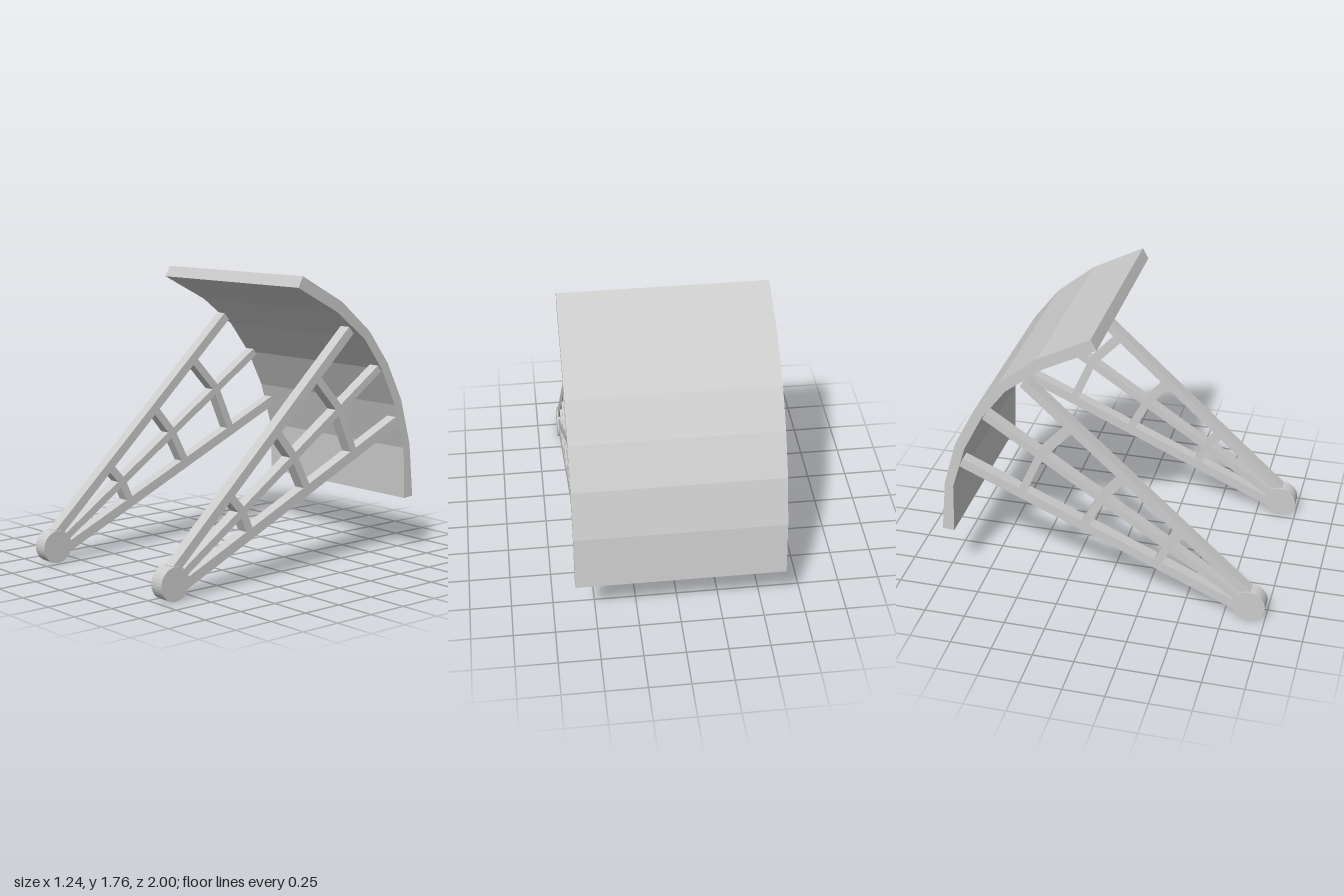
import * as THREE from 'three';

const material = new THREE.MeshStandardMaterial({ color: 0xcccccc, flatShading: true });

// All side-profile points are [z, y]
const outer = [[-0.05, 1.765], [-0.367, 1.60], [-0.60, 1.41], [-0.76, 1.205], [-0.886, 0.964], [-0.967, 0.68], [-1, 0.345]];
const inner = [[-0.015, 1.70], [-0.33, 1.54], [-0.56, 1.365], [-0.71, 1.17], [-0.83, 0.937], [-0.915, 0.66], [-0.927, 0.34]];

// [name, start, end, thickness]
const bars = [
  ['upperArm', [0.89, 0.18], [-0.455, 1.425], 0.057],
  ['middleArm', [0.83, 0.148], [-0.70, 1.174], 0.046],
  ['lowerArm', [0.825, 0.08], [-0.86, 0.833], 0.06],
  ['upperBrace', [0.485, 0.535], [0.40, 0.44], 0.05],
  ['upperBrace', [0.13, 0.865], [0.00, 0.71], 0.05],
  ['upperBrace', [-0.18, 1.16], [-0.365, 0.96], 0.05],
  ['lowerBrace', [0.40, 0.44], [0.34, 0.31], 0.05],
  ['lowerBrace', [0.00, 0.71], [-0.105, 0.51], 0.05],
  ['lowerBrace', [-0.365, 0.96], [-0.485, 0.69], 0.05],
];

function bar([name, a, b, thickness]) {
  const dz = b[0] - a[0], dy = b[1] - a[1];
  const mesh = new THREE.Mesh(new THREE.BoxGeometry(0.073, thickness, Math.hypot(dz, dy)), material);
  mesh.position.set(0, (a[1] + b[1]) / 2, (a[0] + b[0]) / 2);
  mesh.rotation.x = -Math.atan2(dy, dz);
  mesh.name = name;
  return mesh;
}

export function createModel() {
  const model = new THREE.Group();
  model.name = 'radialGate';

  // Curved gate plate, extruded across the width
  const points = [...outer, ...inner.slice().reverse()].map(([z, y]) => new THREE.Vector2(z, y));
  const plate = new THREE.ExtrudeGeometry(new THREE.Shape(points), { depth: 1.24, bevelEnabled: false });
  plate.translate(0, 0, -0.62).rotateY(-Math.PI / 2);
  const gate = new THREE.Mesh(plate, material);
  gate.name = 'gatePlate';
  model.add(gate);

  // Truss frame with pivot hub on each side
  for (const side of [-1, 1]) {
    const frame = new THREE.Group();
    frame.name = side > 0 ? 'leftFrame' : 'rightFrame';
    frame.position.x = side * 0.575;
    bars.forEach((b) => frame.add(bar(b)));
    const hub = new THREE.Mesh(new THREE.CylinderGeometry(0.1, 0.1, 0.092, 32).rotateZ(Math.PI / 2), material);
    hub.position.set(0, 0.1, 0.9);
    hub.name = 'pivotHub';
    frame.add(hub);
    model.add(frame);
  }
  return model;
}
